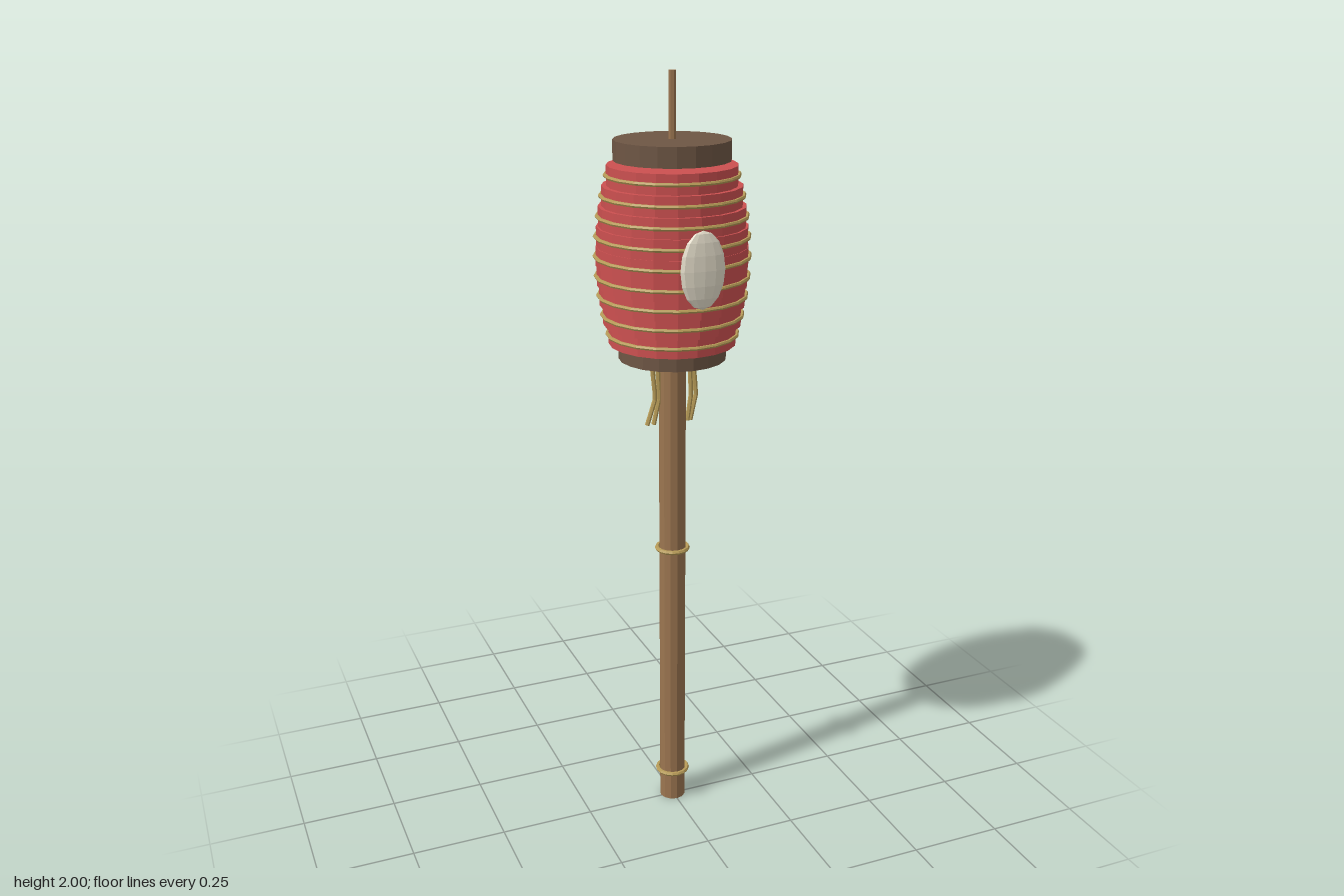
import * as THREE from 'three';

const paint = (color) => new THREE.MeshStandardMaterial({ color, flatShading: true });

export function createModel() {
  const lantern = new THREE.Group();
  lantern.name = 'lanternOnPole';
  const wood = paint(0x9b7550), darkWood = paint(0x6e5644);
  const red = paint(0xcc5050), straw = paint(0xb89c58), paper = paint(0xe6dfcc);

  const add = (name, geometry, material, y = 0) => {
    const mesh = new THREE.Mesh(geometry, material);
    mesh.name = name;
    mesh.position.y = y;
    lantern.add(mesh);
    return mesh;
  };
  // upright cylinder between two heights
  const post = (name, r, y0, y1, sides, material) =>
    add(name, new THREE.CylinderGeometry(r, r, y1 - y0, sides), material, (y0 + y1) / 2);
  // horizontal hoop
  const hoop = (name, r, tube, y, sides) =>
    add(name, new THREE.TorusGeometry(r, tube, 6, sides).rotateX(Math.PI / 2), straw, y);

  // pole, its bindings and the rod on top
  post('pole', 0.035, 0, 1.8, 12, wood);
  for (const y of [0.085, 0.767]) hoop('poleBinding', 0.041, 0.006, y, 16);
  post('topRod', 0.01, 1.82, 2, 8, wood);

  // end caps
  post('topCap', 0.145, 1.79, 1.84, 20, darkWood);
  post('bottomCap', 0.137, 1.295, 1.337, 20, darkWood);

  // barrel of stepped bands, each with a hoop around its middle
  const bands = 9, bottom = 1.335, step = 0.445 / bands;
  for (let i = 0; i < bands; i++) {
    const t = (i + 0.5) / bands * 2 - 1;
    const r = 0.19 - 0.036 * t * t;
    const y = bottom + i * step;
    post('paperBand', r, y, y + step, 20, red);
    hoop('bandHoop', r + 0.003, 0.005, y + step / 2, 20);
  }

  // pale oval on the front
  const oval = add('frontOval', new THREE.SphereGeometry(1, 12, 8), paper, 1.557);
  oval.scale.set(0.058, 0.095, 0.014);
  oval.position.z = 0.19;

  // bent cords hanging under the bottom cap
  const cords = [
    [-0.058, -0.047, -0.07],
    [-0.042, -0.036, -0.052],
    [0.047, 0.052, 0.042],
    [0.056, 0.066, 0.05],
  ];
  for (const [a, b, c] of cords) {
    const path = new THREE.CurvePath();
    const points = [[a, 1.3], [b, 1.19], [c, 1.12]].map(([x, y]) => new THREE.Vector3(x, y, 0));
    path.add(new THREE.LineCurve3(points[0], points[1]));
    path.add(new THREE.LineCurve3(points[1], points[2]));
    add('hangingCord', new THREE.TubeGeometry(path, 8, 0.006, 6), straw);
  }

  // balance the depth added by the oval
  for (const part of lantern.children) part.position.z -= 0.004;
  return lantern;
}
